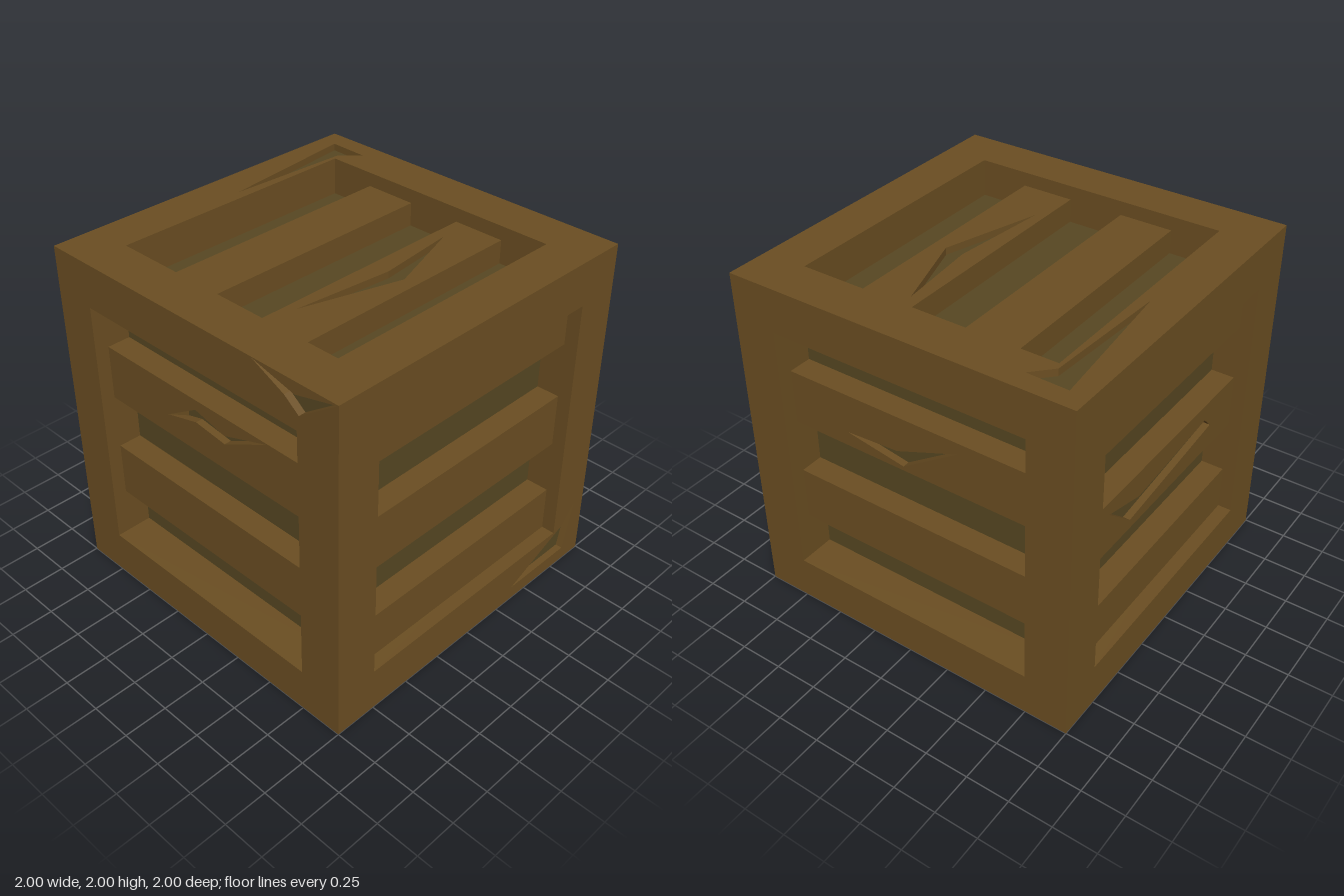
import * as THREE from 'three';

const wood = new THREE.MeshStandardMaterial({ color: 0x6b4e22 });
wood.name = 'brown wood';
const darkWood = new THREE.MeshStandardMaterial({ color: 0x574722 });
darkWood.name = 'dark inner wood';

const OPEN = 0.745;    // half width of the framed opening
const SLAT_Z = 0.92;   // slat surface
const BACK_Z = 0.785;  // recessed backing board
const CUT = 0.04;      // depth of the gouges

const vecs = (pts) => pts.map(([x, y]) => new THREE.Vector2(x, y));
const rect = (x0, y0, x1, y1) => [[x0, y0], [x1, y0], [x1, y1], [x0, y1]];
const square = (r) => rect(-r, -r, r, r);

function add(parent, name, geometry, material) {
  const mesh = new THREE.Mesh(geometry, material);
  mesh.name = name;
  parent.add(mesh);
}

// Flat sheet at height z with holes cut through it
function sheet(pts, z, holes = []) {
  const shape = new THREE.Shape(vecs(pts));
  shape.holes = holes.map((h) => new THREE.Path(vecs(h)));
  return new THREE.ShapeGeometry(shape).translate(0, 0, z);
}

// Triangles from a flat list of corner positions
function triangles(positions) {
  const g = new THREE.BufferGeometry();
  g.setAttribute('position', new THREE.Float32BufferAttribute(positions, 3));
  g.computeVertexNormals();
  return g;
}

// Side walls along an outline, facing outwards or into the outline
function walls(pts, top, bottom, inward) {
  const loop = pts.slice();
  if (THREE.ShapeUtils.isClockWise(vecs(loop)) !== inward) loop.reverse();
  const p = [];
  loop.forEach((a, i) => {
    const b = loop[(i + 1) % loop.length];
    p.push(...a, bottom, ...b, bottom, ...b, top, ...a, bottom, ...b, top, ...a, top);
  });
  return triangles(p);
}

// Gouge sunk into a surface at height z
function gouge(parent, pts, z) {
  add(parent, 'gougeWalls', walls(pts, z, z - CUT, true), wood);
  add(parent, 'gougeFloor', sheet(pts, z - CUT), darkWood);
}

// One side of the crate; slats are [x0, y0, x1, y1], cuts belong to frame or slat
function createPanel({ name, slats, frameCuts = [], slatCuts = {}, ramps = [] }) {
  const panel = new THREE.Group();
  panel.name = name;
  add(panel, 'frame', sheet(square(1), 1, [square(OPEN), ...frameCuts]), wood);
  add(panel, 'frameInnerWalls', walls(square(OPEN), 1, BACK_Z, true), wood);
  add(panel, 'backingBoard', sheet(square(OPEN), BACK_Z), darkWood);
  frameCuts.forEach((cut) => gouge(panel, cut, 1));
  slats.forEach((s, i) => {
    const outline = rect(...s);
    const cuts = slatCuts[i] ? [slatCuts[i]] : [];
    add(panel, 'slatFace', sheet(outline, SLAT_Z, cuts), wood);
    add(panel, 'slatSides', walls(outline, SLAT_Z, BACK_Z, false), wood);
    cuts.forEach((cut) => gouge(panel, cut, SLAT_Z));
  });
  // Sloped gouge tips rising from the floor to the slat surface
  ramps.forEach(([tip, a, b]) => add(panel, 'gougeTip',
    triangles([...tip, SLAT_Z, ...a, SLAT_Z - CUT + 0.002, ...b, SLAT_Z - CUT + 0.002]), wood));
  return panel;
}

const row = (y0, y1) => [-OPEN, y0, OPEN, y1];
const column = (x0, x1) => [x0, -OPEN, x1, OPEN];
const twoRows = [row(0.165, 0.48), row(-0.47, -0.155)];
const threeRows = [row(0.485, OPEN), row(-0.155, 0.16), row(-OPEN, -0.475)];
const twoColumns = [column(-0.47, -0.16), column(0.16, 0.465)];

export function createModel() {
  const crate = new THREE.Group();
  crate.name = 'crate';
  const H = Math.PI / 2;

  const panels = [
    {
      name: 'frontPanel', turn: [0, 0], slats: twoRows,
      frameCuts: [[[0.465, 0.996], [0.67, 0.9], [0.76, 0.83], [0.995, 0.996], [0.735, 0.93]]],
      slatCuts: { 0: [[-0.28, 0.285], [-0.06, 0.345], [0.15, 0.32], [0.455, 0.475], [0.15, 0.37], [-0.06, 0.42]] },
      ramps: [
        [[-0.28, 0.285], [-0.16, 0.318], [-0.16, 0.359]],
        [[0.455, 0.475], [0.31, 0.425], [0.31, 0.401]],
      ],
    },
    {
      name: 'backPanel', turn: [0, Math.PI], slats: twoRows,
      slatCuts: { 0: [[-0.39, 0.25], [-0.035, 0.19], [0.305, 0.415], [-0.07, 0.27]] },
    },
    {
      name: 'rightPanel', turn: [0, H], slats: threeRows,
      frameCuts: [[[0.38, -0.92], [0.85, -0.92], [0.92, -0.62], [0.82, -0.735]]],
    },
    {
      name: 'leftPanel', turn: [0, -H], slats: threeRows,
      slatCuts: { 1: [[-0.54, 0.08], [-0.33, -0.1], [0.5, -0.01], [0.43, 0.06], [-0.25, 0]] },
    },
    {
      name: 'topPanel', turn: [-H, 0], slats: twoColumns,
      frameCuts: [[[-0.895, 0.892], [-0.805, 0.06], [-0.765, 0.78], [-0.665, 0.887]]],
      slatCuts: { 1: [[0.225, 0.57], [0.275, 0.09], [0.215, -0.485], [0.385, 0.085]] },
    },
    {
      name: 'bottomPanel', turn: [H, 0], slats: twoColumns,
      slatCuts: { 1: [[0.39, 0.4], [0.33, 0.22], [0.26, 0.04], [0.34, -0.25], [0.33, 0.03], [0.41, 0.18]] },
    },
  ];

  for (const spec of panels) {
    const panel = createPanel(spec);
    panel.rotation.set(spec.turn[0], spec.turn[1], 0);
    panel.position.y = 1;
    crate.add(panel);
  }
  return crate;
}
